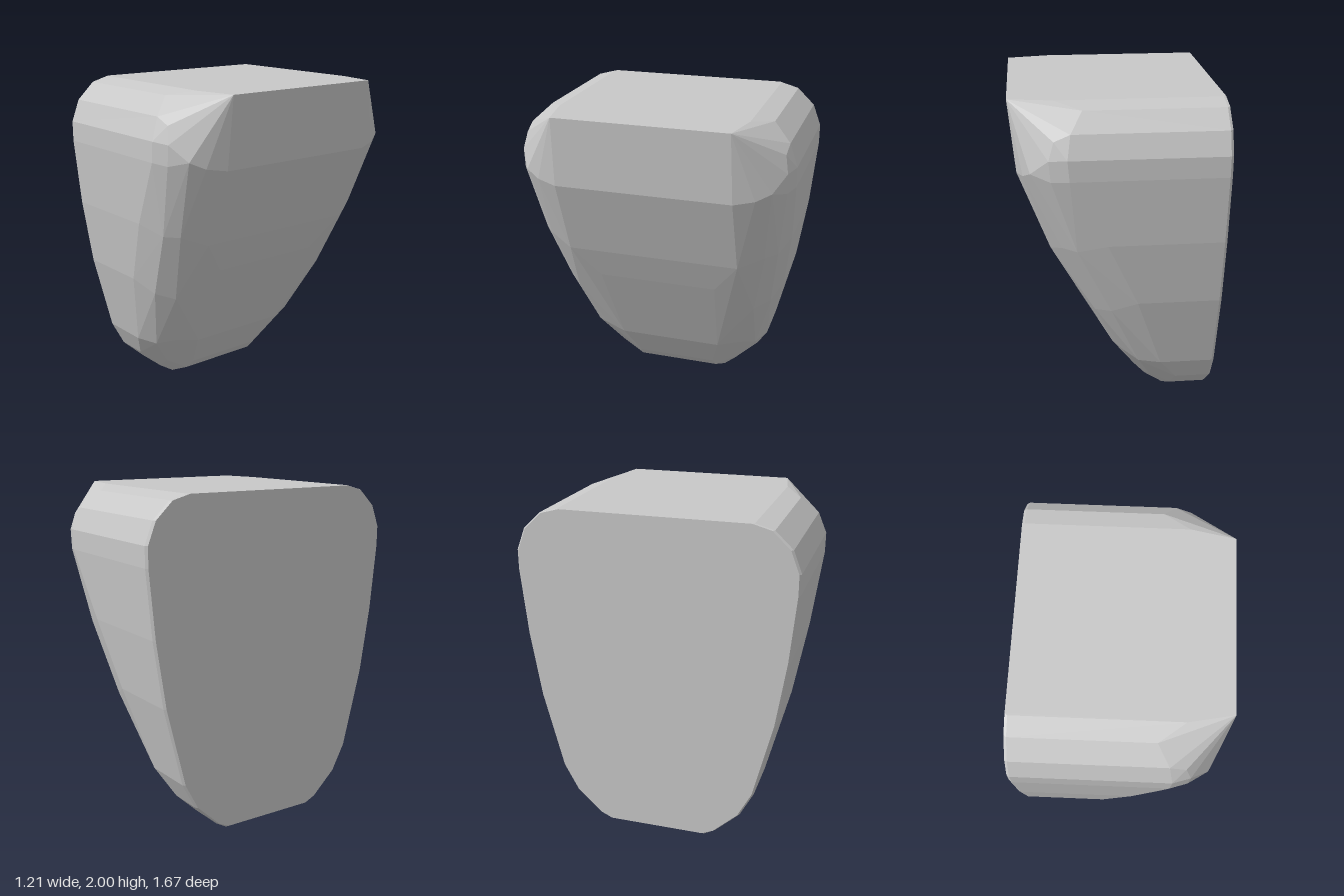
import * as THREE from 'three';
import { ConvexGeometry } from 'three/addons/geometries/ConvexGeometry.js';

// Half profile of the flat back plate: [y, z]
const PROFILE = [
  [2, 0.57], [1.97, 0.68], [1.87, 0.785], [1.74, 0.835], [1.62, 0.835], [1.22, 0.797],
  [0.82, 0.735], [0.34, 0.615], [0.18, 0.53], [0.04, 0.38], [0, 0.31],
];

// Where each profile row ends and the rounded corner begins (x)
const ROW_END = [0.35, 0.2, 0.27, 0.29, 0.28, 0.07, -0.11, -0.27, -0.38, -0.37, -0.33];

// Corner facets and sloping face: [x, y, z]
const CORNER = [
  [0.605, 2, 0.52], [0.36, 1.83, 0.78], [0.39, 1.73, 0.8], [0.38, 1.61, 0.8],
  [0.49, 1.64, 0.735], [0.53, 1.6, 0.65], [0.565, 1.58, 0.53],
  [0.24, 1.17, 0.745], [0.32, 1.17, 0.68], [0.385, 1.11, 0.53],
  [0.04, 0.75, 0.68], [0.13, 0.72, 0.59], [0.285, 0.9, 0.37],
  [-0.14, 0.33, 0.56], [-0.05, 0.36, 0.47], [0, 0.34, 0.33],
  [-0.23, 0.14, 0.42], [-0.15, 0.12, 0.26], [-0.22, 0.05, 0.27],
];

export function createModel() {
  const group = new THREE.Group();
  const stone = new THREE.MeshStandardMaterial({ color: 0xc8c8c8 });
  stone.name = 'pale grey';

  const points = [];
  const addPair = (x, y, z) => {
    for (const side of [1, -1]) points.push(new THREE.Vector3(x, y, z * side));
  };

  PROFILE.forEach(([y, z], i) => {
    // narrow bevel around the flat side, then the straight band
    addPair(-0.605, THREE.MathUtils.clamp(y, 0.008, 2), z - 0.012);
    addPair(-0.59, y, z);
    addPair(ROW_END[i], y, z);
  });
  CORNER.forEach((p) => addPair(...p));

  // Faceted solid with hard, flat faces
  const block = new THREE.Mesh(new ConvexGeometry(points), stone);
  block.name = 'facetedBlock';
  group.add(block);
  return group;
}
